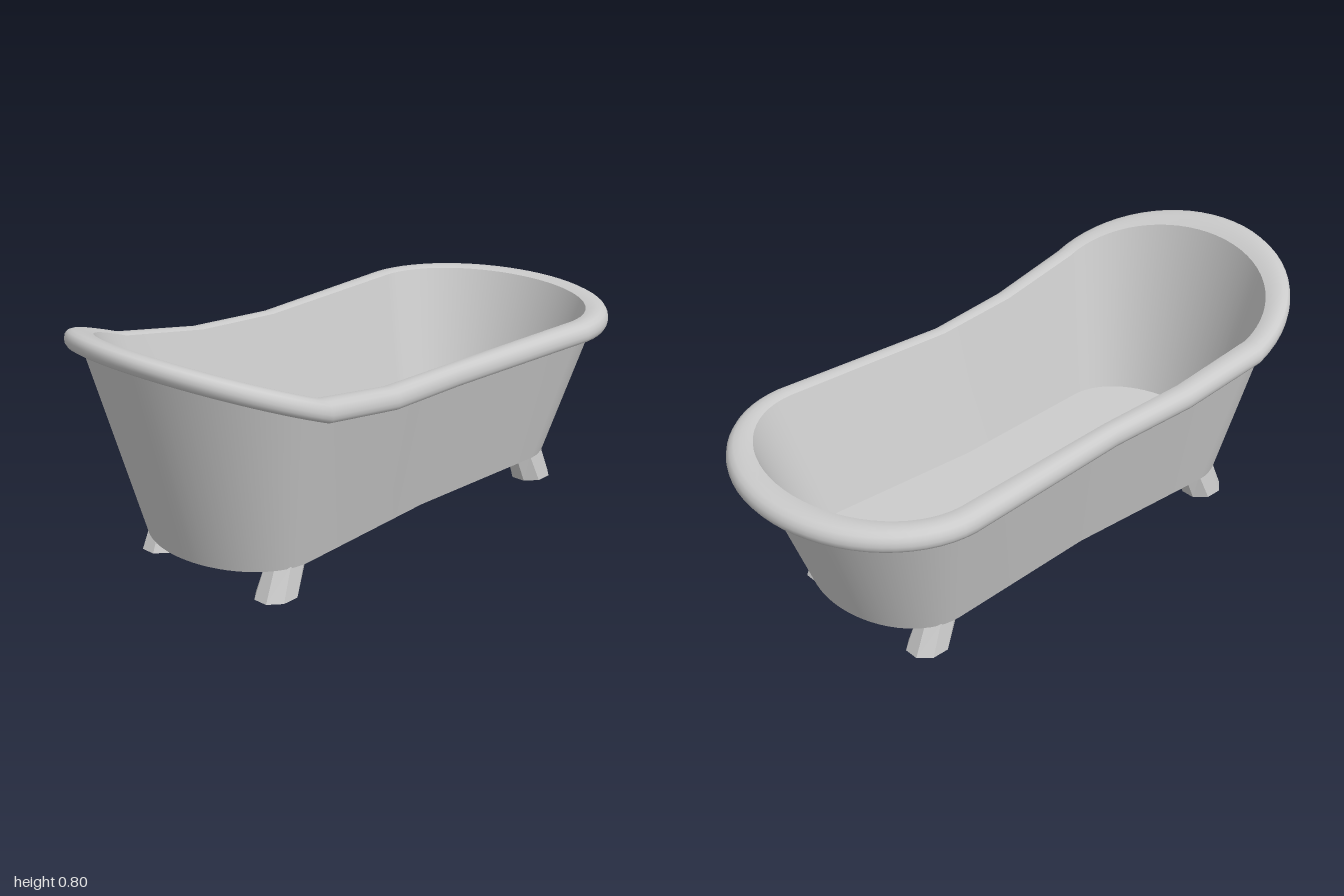
import * as THREE from 'three';

const material = new THREE.MeshStandardMaterial({ color: 0xcccccc, side: THREE.DoubleSide });
const facetedMaterial = new THREE.MeshStandardMaterial({ color: 0xcccccc, flatShading: true });
const lerp = THREE.MathUtils.lerp;
const ARC = 32;

// Height of the rim top: level at the back, sweeping up to the front
const SWEEP = [[0, 0.59], [0.3, 0.605], [0.6, 0.655], [1, 0.812]];
function rimHeight(z) {
  if (z <= 0) return SWEEP[0][1];
  const i = z < 0.3 ? 0 : z < 0.6 ? 1 : 2;
  const [z0, y0] = SWEEP[i], [z1, y1] = SWEEP[i + 1];
  return lerp(y0, y1, (z - z0) / (z1 - z0));
}

// Plan outlines: half width at the shoulders, half width at the waist,
// shoulder z, front end z, back end z
const FLOOR = [0.285, 0.26, 0.53, 0.75, 0.76];
const BASE = [0.305, 0.28, 0.54, 0.77, 0.77];
const WALL_TOP = [0.425, 0.39, 0.6, 0.945, 0.925];
const RIM_IN = [0.4, 0.37, 0.6, 0.905, 0.912];
const RIM_OUT = [0.472, 0.43, 0.6, 1, 1];
const mix = (a, b, t) => a.map((v, i) => lerp(v, b[i], t));

// Waisted oval ring; height is a function of z
function ring([half, waist, shoulder, front, back], height) {
  const plan = [];
  const sides = [0.75, 0.5, 0.25, 0, -0.25, -0.5, -0.75];
  for (const s of [1, -1]) {
    const end = (s > 0 ? front : back) - shoulder;
    for (let i = 0; i <= ARC; i++) {
      const t = Math.PI * i / ARC;
      plan.push([s * half * Math.cos(t), s * (shoulder + end * Math.sin(t))]);
    }
    for (const f of sides) plan.push([-s * lerp(waist, half, Math.abs(f)), s * f * shoulder]);
  }
  return plan.map(([x, z]) => [x, height(z), z]);
}

// Skin between successive closed rings
function loft(name, rings) {
  const n = rings[0].length, index = [];
  for (let r = 0; r < rings.length - 1; r++) {
    for (let i = 0; i < n; i++) {
      const a = r * n + i, b = r * n + (i + 1) % n;
      index.push(a, a + n, b + n, a, b + n, b);
    }
  }
  const geometry = new THREE.BufferGeometry();
  geometry.setAttribute('position', new THREE.Float32BufferAttribute(rings.flat(2), 3));
  geometry.setIndex(index);
  geometry.computeVertexNormals();
  const mesh = new THREE.Mesh(geometry, material);
  mesh.name = name;
  return mesh;
}

// Eight-sided foot, flared and leaning outward towards its end of the tub
function foot(sx, sz) {
  const geometry = new THREE.CylinderGeometry(1, 1, 1, 8, 1);
  geometry.rotateY(Math.PI / 8);
  const p = geometry.attributes.position, k = 1 / Math.cos(Math.PI / 8);
  for (let i = 0; i < p.count; i++) {
    const t = p.getY(i) + 0.5;
    p.setXYZ(i,
      sx * 0.249 + p.getX(i) * k * lerp(0.0585, 0.047, t),
      t * 0.1,
      sz * lerp(0.613, 0.572, t) + p.getZ(i) * k * 0.067);
  }
  geometry.computeVertexNormals();
  const mesh = new THREE.Mesh(geometry, facetedMaterial);
  mesh.name = (sz > 0 ? 'front' : 'back') + (sx > 0 ? 'Left' : 'Right') + 'Foot';
  return mesh;
}

export function createModel() {
  const tub = new THREE.Group();
  tub.name = 'bathtub';
  const baseY = () => 0.095, floorY = () => 0.17;
  const centre = [0, 0, 0, 0, 0];

  // Shell
  tub.add(loft('base', [ring(centre, baseY), ring(BASE, baseY)]));
  tub.add(loft('outerWall', [ring(BASE, baseY), ring(WALL_TOP, z => rimHeight(z) - 0.06)]));
  tub.add(loft('innerWall', [ring(RIM_IN, z => rimHeight(z) - 0.005), ring(FLOOR, floorY)]));
  tub.add(loft('floor', [ring(FLOOR, floorY), ring(centre, floorY)]));

  // Rolled rim: [fraction from inner to outer outline, drop below the rim top]
  const roll = [[0.08, 0.065], [0.75, 0.065], [0.9, 0.06], [0.98, 0.05], [1, 0.038],
    [0.97, 0.024], [0.87, 0.011], [0.7, 0.003], [0.45, 0], [0.2, 0.001], [0, 0.005]];
  tub.add(loft('rim', roll.map(([t, drop]) =>
    ring(mix(RIM_IN, RIM_OUT, t), z => rimHeight(z) - drop))));

  // Feet
  for (const sx of [1, -1]) for (const sz of [1, -1]) tub.add(foot(sx, sz));
  return tub;
}
